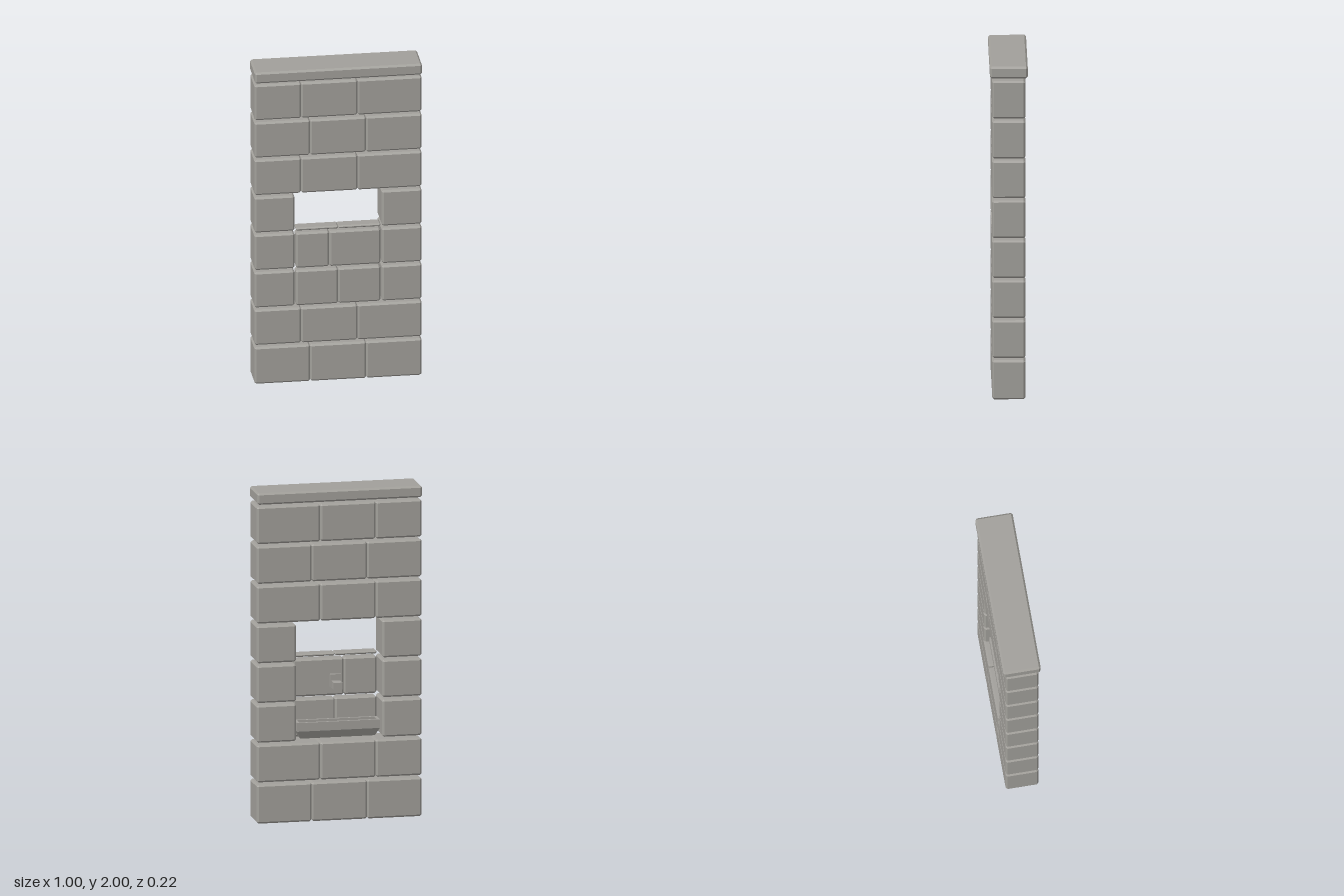
import * as THREE from 'three';
import { ConvexGeometry } from 'three/addons/geometries/ConvexGeometry.js';

const stone = new THREE.MeshStandardMaterial({ color: 0xa19f9a });
stone.name = 'grey stone';

// Box between two corners with all edges chamfered by c
function block(name, x0, x1, y0, y1, z0, z1, c = 0.011) {
  const h = [(x1 - x0) / 2, (y1 - y0) / 2, (z1 - z0) / 2];
  const points = [];
  for (const sx of [-1, 1]) for (const sy of [-1, 1]) for (const sz of [-1, 1]) {
    for (let face = 0; face < 3; face++) {
      const p = [sx, sy, sz].map((s, axis) => s * (h[axis] - (axis === face ? 0 : c)));
      points.push(new THREE.Vector3(...p));
    }
  }
  const mesh = new THREE.Mesh(new ConvexGeometry(points), stone);
  mesh.name = name;
  mesh.position.set((x0 + x1) / 2, (y0 + y1) / 2, (z0 + z1) / 2);
  return mesh;
}

// Plain box between two corners
function box(name, x0, x1, y0, y1, z0, z1) {
  const mesh = new THREE.Mesh(new THREE.BoxGeometry(x1 - x0, y1 - y0, z1 - z0), stone);
  mesh.name = name;
  mesh.position.set((x0 + x1) / 2, (y0 + y1) / 2, (z0 + z1) / 2);
  return mesh;
}

export function createModel() {
  const model = new THREE.Group();
  model.name = 'wallWithBasin';
  const W = 0.498, D = 0.098, NICHE = 0.26, INNER = 0.252, BACK = 0.025;

  // Full courses: brick edges along x
  const wide = [-W, -0.167, 0.167, W];
  const shifted = [-W, -0.22, 0.115, W];
  const sides = [-W, -NICHE, null, NICHE, W];
  const courses = [wide, shifted, sides, sides, sides, shifted, wide, shifted];
  courses.forEach((edges, row) => {
    const y0 = row === 0 ? 0 : 0.24 * row + 0.009;
    const y1 = 0.24 * row + 0.235;
    for (let i = 0; i < edges.length - 1; i++) {
      if (edges[i] === null || edges[i + 1] === null) continue;
      model.add(block('brick', edges[i], edges[i + 1], y0, y1, -D, D));
    }
  });

  // Thin bricks closing the front of the niche
  [[0.489, 0.715, 0], [0.729, 0.955, -0.053]].forEach(([y0, y1, split]) => {
    model.add(block('thinBrick', -INNER, split, y0, y1, BACK, D));
    model.add(block('thinBrick', split, INNER, y0, y1, BACK, D));
  });

  // Window sill in two halves
  for (const [x0, x1] of [[-INNER, 0], [0, INNER]]) {
    model.add(block('sill', x0, x1, 0.969, 0.987, BACK, D, 0.007));
  }

  // Coping slab
  model.add(block('coping', -W, W, 1.93, 2, -0.112, 0.112));

  // Basin: rim walls around a tapered lower body
  const basin = new THREE.Group();
  basin.name = 'basin';
  const F = -0.07, T = 0.016;
  basin.add(box('basinBackWall', -0.25, 0.25, 0.54, 0.592, F, F + T));
  basin.add(box('basinFrontWall', -0.25, 0.25, 0.54, 0.592, BACK - T, BACK));
  for (const s of [-1, 1]) {
    const a = s * 0.25, b = s * (0.25 - T);
    basin.add(box('basinEnd', Math.min(a, b), Math.max(a, b), 0.54, 0.592, F + T, BACK - T));
  }
  const hull = [];
  for (const s of [-1, 1]) {
    hull.push(
      new THREE.Vector3(s * 0.25, 0.54, F), new THREE.Vector3(s * 0.25, 0.54, BACK),
      new THREE.Vector3(s * 0.225, 0.492, F + 0.025), new THREE.Vector3(s * 0.225, 0.492, BACK));
  }
  const body = new THREE.Mesh(new ConvexGeometry(hull), stone);
  body.name = 'basinBody';
  basin.add(body);
  model.add(basin);

  // Tap: wall plate and spout
  const tap = new THREE.Group();
  tap.name = 'tap';
  tap.add(box('tapPlate', -0.033, 0.033, 0.785, 0.86, 0.005, BACK + 0.005));
  tap.add(box('spout', -0.027, 0.027, 0.78, 0.822, -0.06, 0.01));
  model.add(tap);

  return model;
}
